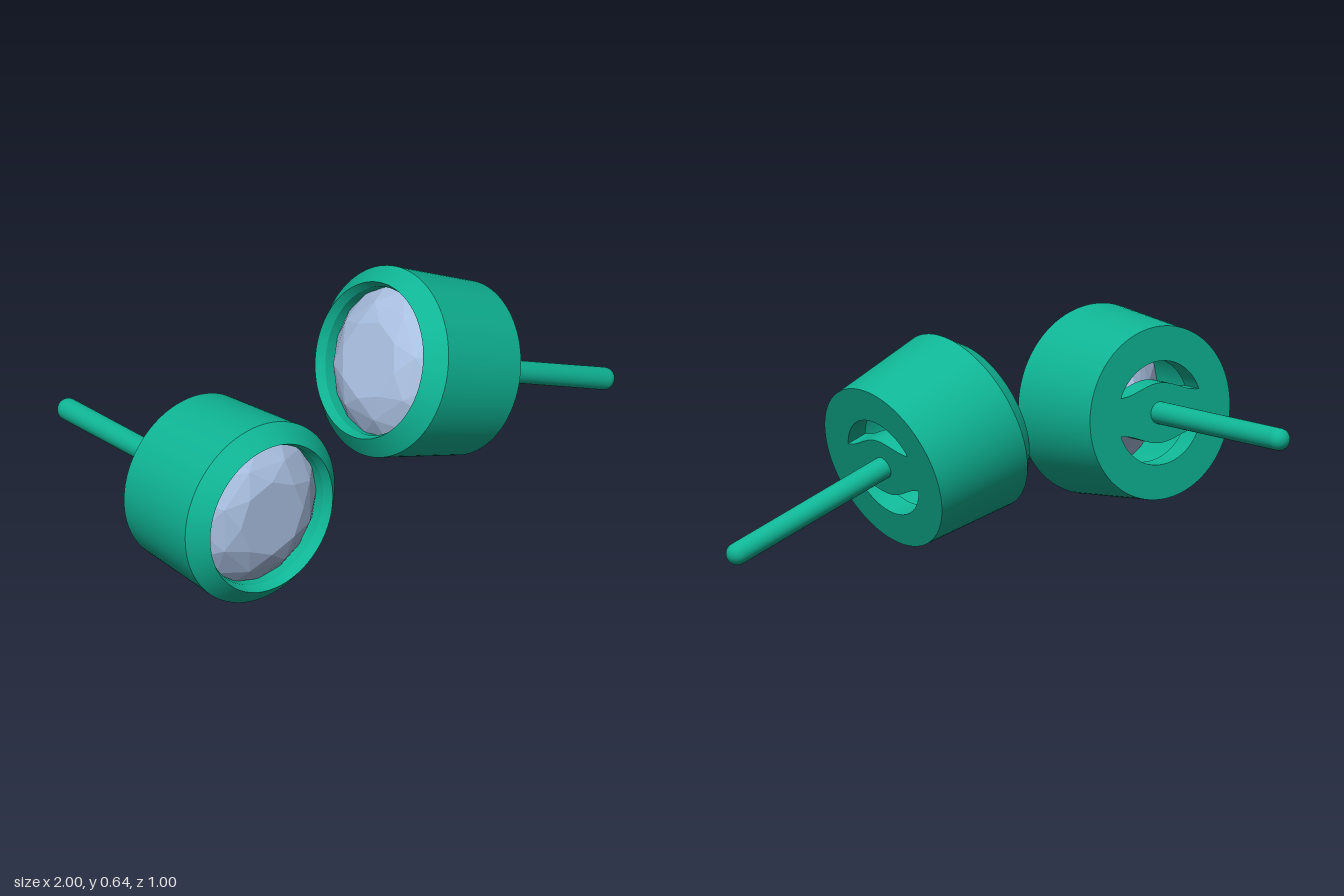
import * as THREE from 'three';
import { toCreasedNormals } from 'three/addons/utils/BufferGeometryUtils.js';
import { ConvexGeometry } from 'three/addons/geometries/ConvexGeometry.js';

const metal = new THREE.MeshStandardMaterial({ color: 0x0fb595 });
const stone = new THREE.MeshStandardMaterial({ color: 0xa9bfe0 });

const BACK = 0.12, PLATE = 0.07, HOLE = 0.157;

function part(name, geometry, material) {
  const mesh = new THREE.Mesh(geometry, material);
  mesh.name = name;
  return mesh;
}

// Hollow tapered cup with a chamfered front rim
function cupGeometry() {
  const profile = [[0.262, BACK], [0.287, 0.44], [0.235, 0.495], [0.222, 0.465], [0.222, BACK + PLATE]]
    .map(([r, z]) => new THREE.Vector2(r, z));
  return toCreasedNormals(new THREE.LatheGeometry(profile, 96).rotateX(Math.PI / 2), 0.4);
}

// One opening: a circle segment whose flat side is the wavy edge of the bar
function opening(side) {
  const points = [];
  const start = Math.asin(0.058 / HOLE);
  const halfWidth = HOLE * Math.cos(start);
  for (let i = 0; i <= 32; i++) {
    const a = start + (Math.PI - 2 * start) * i / 32;
    points.push(new THREE.Vector2(HOLE * Math.cos(a), side * HOLE * Math.sin(a)));
  }
  for (let i = 1; i < 24; i++) {
    const t = -1 + 2 * i / 24;
    const y = 0.058 + 0.0165 * (1 + Math.cos(Math.PI * t));
    points.push(new THREE.Vector2(halfWidth * t, side * y));
  }
  return new THREE.Path(points);
}

// Back plate: a disc with two openings that leave a bar for the post
function plateGeometry() {
  const disc = new THREE.Shape().absarc(0, 0, 0.262, 0, Math.PI * 2);
  disc.holes.push(opening(1), opening(-1));
  const geometry = new THREE.ExtrudeGeometry(disc, { depth: PLATE, bevelEnabled: false, curveSegments: 48 });
  return toCreasedNormals(geometry.translate(0, 0, BACK), 0.5);
}

// Brilliant cut stone: rings of corners [radius, z, count, turn] wrapped in facets
function gemGeometry() {
  const rings = [
    [0.12, 0.498, 8, 0],
    [0.178, 0.474, 8, 0.5],
    [0.224, 0.43, 16, 0],
    [0.224, 0.42, 16, 0],
    [0.11, 0.315, 8, 0.5],
    [0.004, 0.225, 4, 0],
  ];
  const points = [];
  for (const [r, z, count, turn] of rings) {
    for (let i = 0; i < count; i++) {
      const a = (i + turn) / count * Math.PI * 2;
      points.push(new THREE.Vector3(r * Math.cos(a), r * Math.sin(a), z));
    }
  }
  return new ConvexGeometry(points);
}

// Round-ended post running back from the bar
function postGeometry() {
  const radius = 0.034, front = 0.175, tip = -0.498;
  return new THREE.CapsuleGeometry(radius, front - tip - 2 * radius, 10, 32)
    .rotateX(Math.PI / 2)
    .translate(0, 0, (front + tip) / 2);
}

function createStud(name) {
  const stud = new THREE.Group();
  stud.name = name;
  stud.add(
    part('cup', cupGeometry(), metal),
    part('backPlate', plateGeometry(), metal),
    part('post', postGeometry(), metal),
    part('gem', gemGeometry(), stone),
  );
  return stud;
}

export function createModel() {
  const model = new THREE.Group();
  model.name = 'studEarrings';

  // Upright stud facing the front
  const facing = createStud('facingStud');
  facing.position.set(-0.713, 0.29, 0);

  // Resting stud turned sideways and leaning on its post
  const resting = createStud('restingStud');
  resting.position.set(0.527, 0.217, 0);
  resting.rotation.set(0, -Math.PI / 2, -0.356, 'ZYX');

  model.add(facing, resting);
  return model;
}
